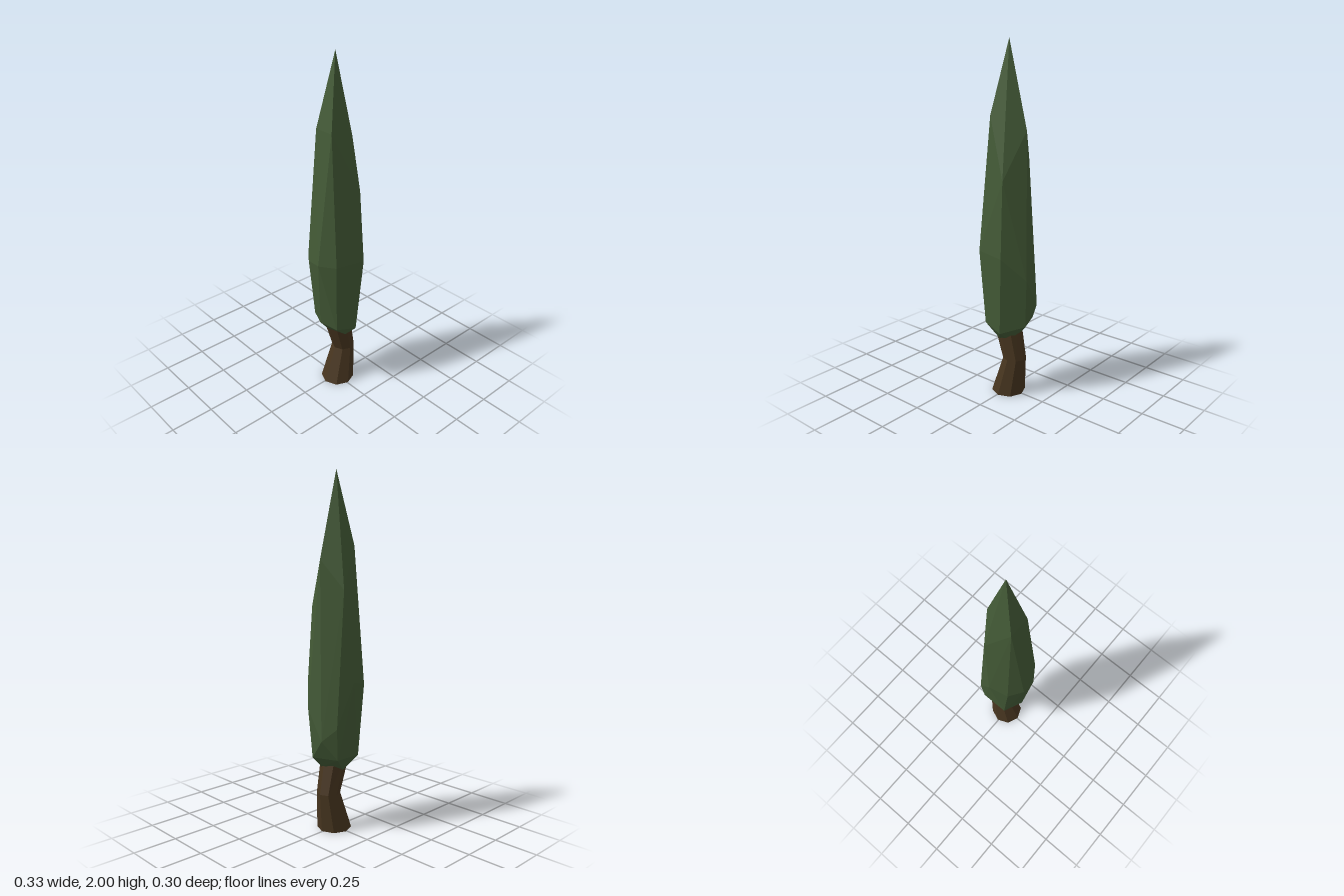
import * as THREE from 'three';
import { ConvexGeometry } from 'three/addons/geometries/ConvexGeometry.js';

const flat = (color) => new THREE.MeshStandardMaterial({ color, flatShading: true });

// Faceted crown: irregular rings of corners wrapped in a convex hull
function makeCrown() {
  const corners = [
    // tip
    [0, 2, -0.007],
    // shoulder ring
    [0.05, 1.37, -0.117], [0.12, 1.53, -0.007], [0.06, 1.27, 0.122],
    [-0.08, 1.6, 0.055], [-0.08, 1.6, -0.065],
    // widest ring
    [0.07, 0.85, 0.15], [0.165, 0.72, 0.045], [0.16, 0.55, -0.055],
    [0.105, 0.62, -0.12], [0.005, 0.87, -0.152], [-0.105, 0.84, -0.12],
    [-0.163, 0.86, -0.045], [-0.165, 0.86, 0.037], [-0.107, 0.86, 0.123],
    // lower ring
    [0.04, 0.4, 0.125], [0.147, 0.44, 0.03], [0.09, 0.44, -0.11],
    [-0.07, 0.44, -0.11], [-0.122, 0.45, 0.0], [-0.085, 0.43, 0.1],
    // underside
    [0.04, 0.335, 0.04], [-0.06, 0.375, 0], [0, 0.35, 0.08],
    [0.09, 0.385, 0], [0.01, 0.36, -0.07],
  ].map((p) => new THREE.Vector3(...p));
  const crown = new THREE.Mesh(new ConvexGeometry(corners), flat(0x435a36));
  crown.name = 'crown';
  return crown;
}

// Crooked trunk: three rings, each with its own centre and radii
function makeTrunk() {
  const rings = [ // y, centre x, centre z, radius x, radius z
    [0.42, 0.0, 0.005, 0.08, 0.077],
    [0.22, 0.05, 0.005, 0.066, 0.066],
    [0, 0.005, 0.005, 0.097, 0.097],
  ];
  const geometry = new THREE.CylinderGeometry(1, 1, 2, 8, 2);
  const pos = geometry.attributes.position;
  for (let i = 0; i < pos.count; i++) {
    const [y, cx, cz, rx, rz] = rings[Math.round(1 - pos.getY(i))];
    pos.setXYZ(i, cx + pos.getX(i) * rx, y, cz + pos.getZ(i) * rz);
  }
  geometry.computeVertexNormals();
  const trunk = new THREE.Mesh(geometry, flat(0x47351f));
  trunk.name = 'trunk';
  return trunk;
}

export function createModel() {
  const tree = new THREE.Group();
  tree.name = 'cypressTree';
  tree.add(makeTrunk(), makeCrown());
  return tree;
}
